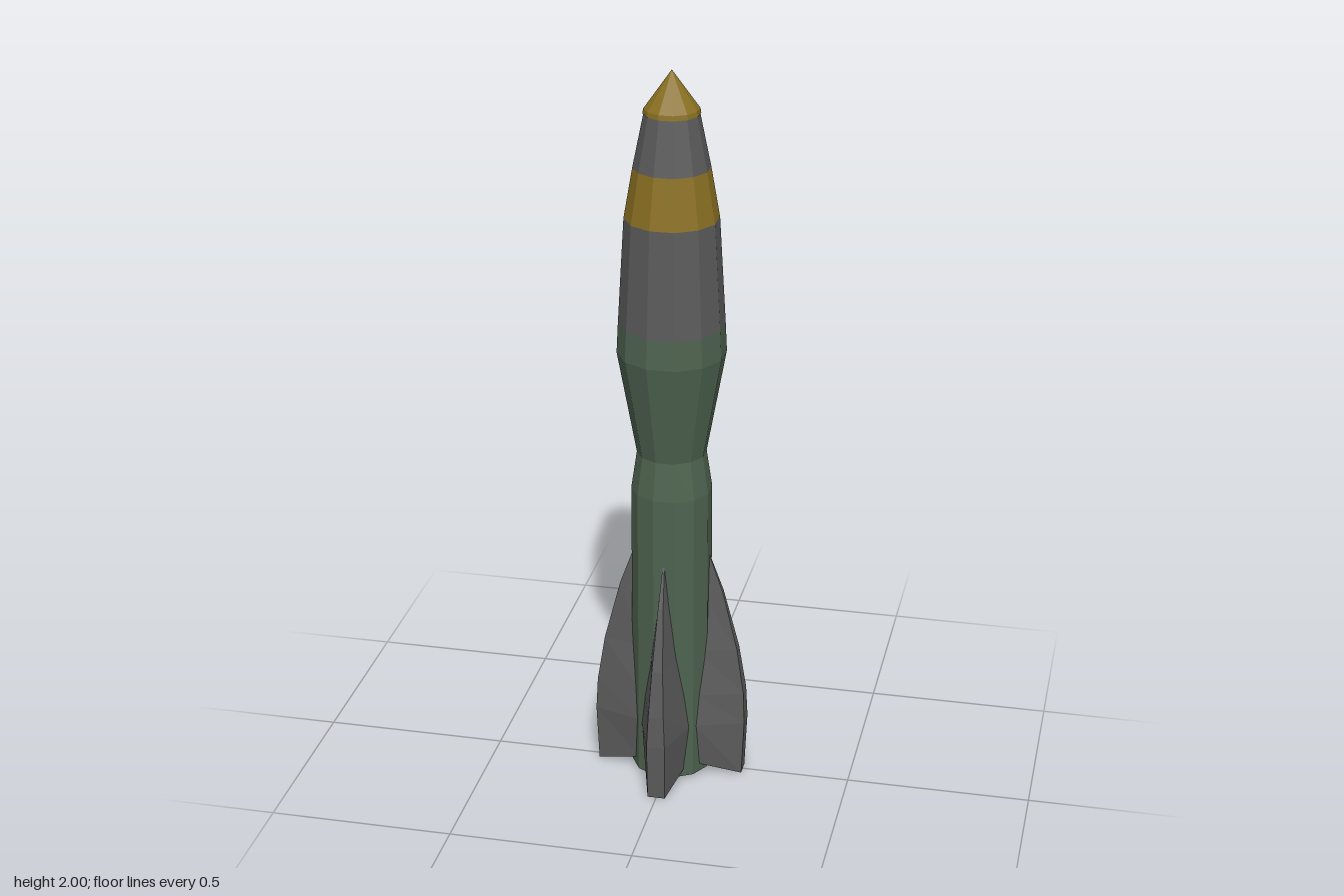
import * as THREE from 'three';

const SIDES = 12;

function material(name, color) {
  const m = new THREE.MeshStandardMaterial({ color, flatShading: true });
  m.name = name;
  return m;
}

// Twelve-sided section; radii are measured to the flats, which face the axes
function hullSection(name, profile, mat) {
  const k = 1 / Math.cos(Math.PI / SIDES);
  const points = profile.map(([r, y]) => new THREE.Vector2(r * k, y));
  const mesh = new THREE.Mesh(new THREE.LatheGeometry(points, SIDES, Math.PI / SIDES), mat);
  mesh.name = name;
  return mesh;
}

// Fin lofted through trapezoid sections, pointing along +z
function finGeometry() {
  // outer y, root y, outer radius, outer half width, root half width
  const sections = [
    [0.0, 0.035, 0.203, 0.024, 0.056],
    [0.16, 0.16, 0.21, 0.025, 0.067],
    [0.25, 0.25, 0.206, 0.021, 0.058],
    [0.38, 0.38, 0.186, 0.015, 0.039],
    [0.55, 0.55, 0.143, 0.007, 0.018],
    [0.67, 0.67, 0.1, 0.002, 0.004],
  ];
  const root = 0.08;
  const pos = [];
  const index = [];
  for (const [yo, yr, r, wo, wr] of sections) {
    pos.push(-wo, yo, r, wo, yo, r, wr, yr, root, -wr, yr, root);
  }
  for (let i = 0; i < sections.length - 1; i++) {
    for (let j = 0; j < 4; j++) {
      const a = i * 4 + j;
      const b = i * 4 + (j + 1) % 4;
      index.push(a, b, a + 4, b, b + 4, a + 4);
    }
  }
  index.push(0, 3, 2, 0, 2, 1); // sloping underside
  const g = new THREE.BufferGeometry();
  g.setAttribute('position', new THREE.Float32BufferAttribute(pos, 3));
  g.setIndex(index);
  g.computeVertexNormals();
  return g;
}

export function createModel() {
  const green = material('hull green', 0x4e634f);
  const gray = material('dark gray', 0x5b5b5b);
  const gold = material('dull gold', 0x8a7022);
  const rocket = new THREE.Group();
  rocket.name = 'rocket';

  // Body, from the recessed tail to the tip
  rocket.add(
    hullSection('tailBody', [[0, 0.06], [0.088, 0.06], [0.093, 0.01], [0.105, 0.01],
      [0.105, 0.85], [0.09, 0.955], [0.14, 1.24], [0.1362, 1.32]], green),
    hullSection('upperBody', [[0.1362, 1.32], [0.12, 1.61]], gray),
    hullSection('goldBand', [[0.12, 1.61], [0.0975, 1.745]], gold),
    hullSection('noseCollar', [[0.0975, 1.745], [0.069, 1.89]], gray),
    hullSection('noseTip', [[0.066, 1.887], [0.072, 1.887], [0.07, 1.9], [0, 2]], gold),
  );

  // Four tail fins
  const geometry = finGeometry();
  ['frontFin', 'leftFin', 'backFin', 'rightFin'].forEach((name, i) => {
    const fin = new THREE.Mesh(geometry, gray);
    fin.name = name;
    fin.rotation.y = i * Math.PI / 2;
    rocket.add(fin);
  });
  return rocket;
}
